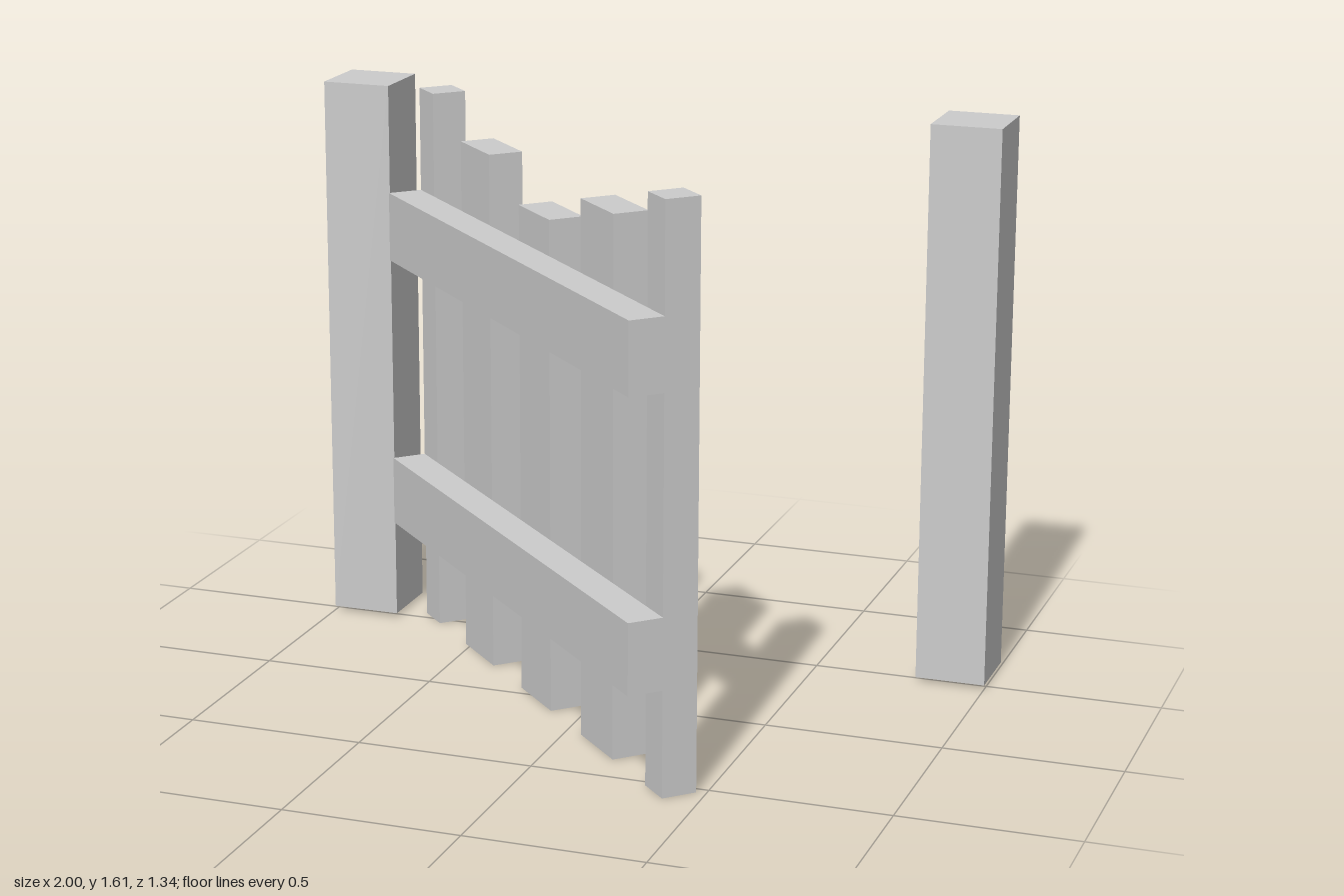
import * as THREE from 'three';

const material = new THREE.MeshStandardMaterial({ color: 0xcccccc, flatShading: true });

// Box given by its minimum corner and its size
function box(name, [x, y, z], [w, h, d]) {
  const mesh = new THREE.Mesh(new THREE.BoxGeometry(w, h, d), material);
  mesh.position.set(x + w / 2, y + h / 2, z + d / 2);
  mesh.name = name;
  return mesh;
}

export function createModel() {
  const model = new THREE.Group();
  model.name = 'gateway';

  // Two square posts
  model.add(box('rightPost', [-1, 0.012, -0.673], [0.2, 1.6, 0.2]));
  model.add(box('leftPost', [0.8, 0.012, -0.673], [0.2, 1.6, 0.2]));

  // Gate leaf, swung open 45 degrees about the right post's inner front edge
  const gate = new THREE.Group();
  gate.name = 'gate';
  gate.position.set(-0.8, 0, -0.466);
  gate.rotation.y = -Math.PI / 4;
  model.add(gate);

  // Horizontal rails
  gate.add(box('lowerRail', [0, 0.3, -0.1], [1.6, 0.2, 0.1]));
  gate.add(box('upperRail', [0, 1.1, -0.1], [1.6, 0.2, 0.1]));

  // Pickets behind the rails: [start along the rail, width, height]
  const pickets = [[0, 0.1, 1.6], [0.3, 0.2, 1.5], [0.7, 0.2, 1.4], [1.1, 0.2, 1.5], [1.5, 0.1, 1.6]];
  pickets.forEach(([start, width, height], i) => {
    gate.add(box(`picket${i + 1}`, [start, 0, -0.2], [width, height, 0.1]));
  });

  return model;
}
